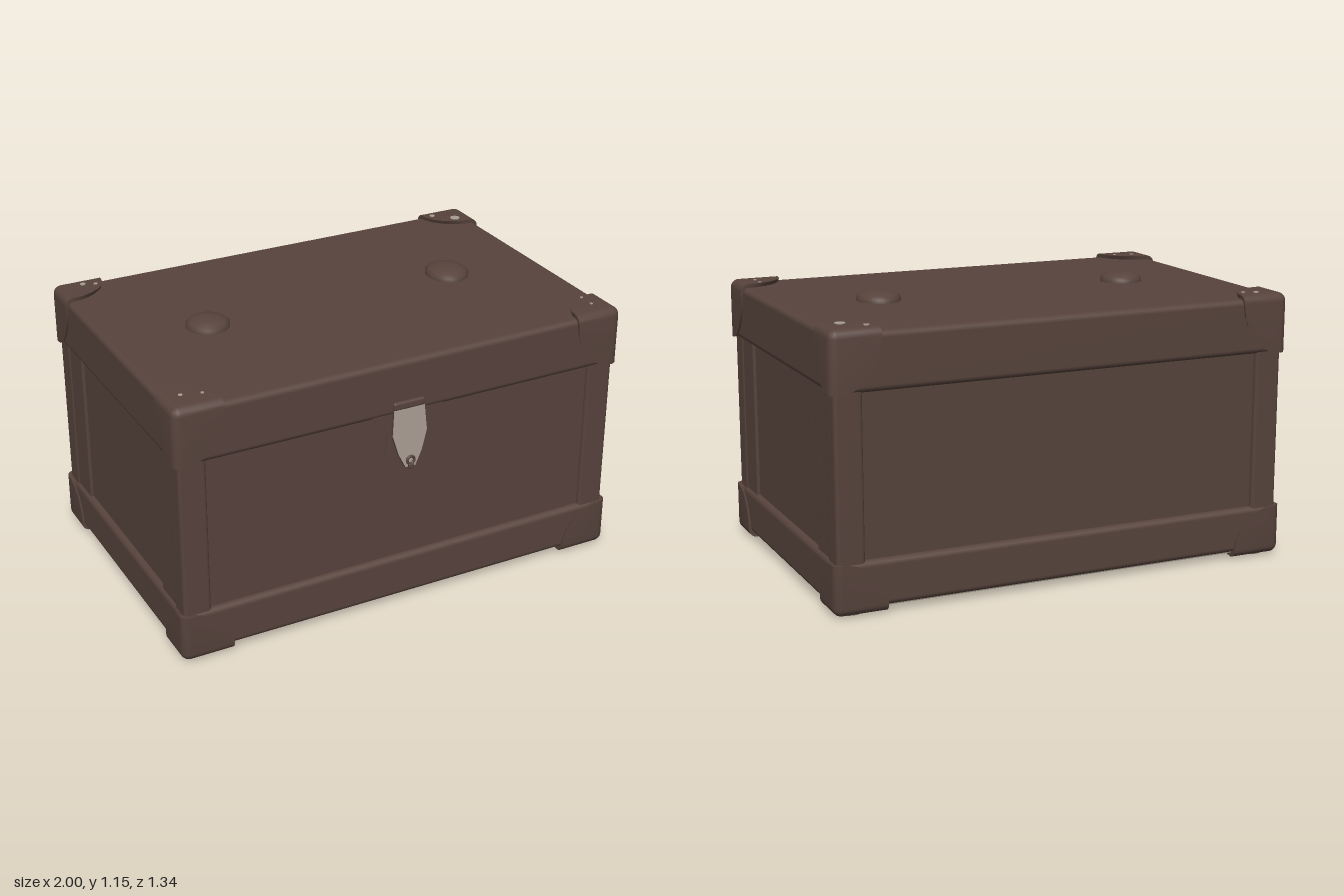
import * as THREE from 'three';
import { RoundedBoxGeometry } from 'three/addons/geometries/RoundedBoxGeometry.js';
import { ConvexGeometry } from 'three/addons/geometries/ConvexGeometry.js';
import { toCreasedNormals } from 'three/addons/utils/BufferGeometryUtils.js';

const material = (name, color) => {
  const m = new THREE.MeshStandardMaterial({ color });
  m.name = name;
  return m;
};

export function createModel() {
  const brown = material('brown leather', 0x57433c);
  const grey = material('grey underside', 0x8d867a);
  const metal = material('dull metal', 0xa89d93);
  const chest = new THREE.Group();
  chest.name = 'chest';

  const add = (name, geometry, mat, x = 0, y = 0, z = 0) => {
    const mesh = new THREE.Mesh(geometry, mat);
    mesh.name = name;
    mesh.position.set(x, y, z);
    chest.add(mesh);
    return mesh;
  };
  // Rounded block given by its limits on each axis
  const block = (name, [x0, x1], [y0, y1], [z0, z1], r) =>
    add(name, new RoundedBoxGeometry(x1 - x0, y1 - y0, z1 - z0, 3, r), brown,
      (x0 + x1) / 2, (y0 + y1) / 2, (z0 + z1) / 2);
  // Flat outline, extruded forward from z = 0
  const plate = (points, depth) => new THREE.ExtrudeGeometry(
    new THREE.Shape(points.map(p => new THREE.Vector2(...p))), { depth, bevelEnabled: false });

  // Recessed panels, base band and lid
  block('bodyPanels', [-0.965, 0.965], [0.1, 0.98], [-0.635, 0.607], 0.01);
  block('baseBand', [-0.99, 0.99], [0.03, 0.22], [-0.66, 0.632], 0.025);
  block('lid', [-0.99, 0.99], [0.88, 1.113], [-0.662, 0.632], 0.025);
  add('underside', new THREE.BoxGeometry(1.94, 0.008, 1.25), grey, 0, 0.03, -0.015);

  // Corner posts, with a slightly lower inner board on each end wall
  for (const s of [-1, 1]) {
    const span = (a, b) => (s > 0 ? [a, b] : [-b, -a]);
    block('frontPost', span(0.865, 0.982), [0.18, 0.92], [0.525, 0.624], 0.015);
    block('backPost', span(0.865, 0.982), [0.18, 0.92], [-0.654, -0.55], 0.015);
    block('frontEndBoard', span(0.9, 0.977), [0.18, 0.92], [0.39, 0.56], 0.008);
    block('backEndBoard', span(0.9, 0.977), [0.18, 0.92], [-0.6, -0.415], 0.008);
  }

  // Wrapped corner cap: quarter ellipses on three faces with a rounded corner
  const cornerCap = (corner, dir, size, r) => {
    const points = [];
    const put = v => points.push(new THREE.Vector3(
      ...corner.map((c, i) => c - dir[i] * v[i])));
    const n = 6;
    for (let axis = 0; axis < 3; axis++) {
      const u = (axis + 1) % 3, w = (axis + 2) % 3;
      for (let i = 0; i <= n; i++) {
        const a = (i / n) * Math.PI / 2;
        const c = Math.cos(a), s = Math.sin(a);
        // outline on the face
        const rim = [0, 0, 0];
        rim[u] = r + (size[u] - r) * c;
        rim[w] = r + (size[w] - r) * s;
        put(rim);
        // rounded end of each edge
        const edge = [0, 0, 0];
        edge[axis] = size[axis];
        edge[u] = r * (1 - c);
        edge[w] = r * (1 - s);
        put(edge);
      }
    }
    // rounded corner
    for (let i = 0; i <= 5; i++) for (let j = 0; j <= 5; j++) {
      const a = (i / 5) * Math.PI / 2, b = (j / 5) * Math.PI / 2;
      put([r * (1 - Math.cos(a) * Math.cos(b)), r * (1 - Math.sin(b)),
        r * (1 - Math.sin(a) * Math.cos(b))]);
    }
    return toCreasedNormals(new ConvexGeometry(points), 0.6);
  };
  for (const sx of [-1, 1]) for (const sz of [-1, 1]) {
    const z = sz > 0 ? 0.642 : -0.672;
    add('lidCornerCap', cornerCap([sx, 1.13, z], [sx, 1, sz], [0.21, 0.25, 0.18], 0.035), brown);
    add('baseCornerCap', cornerCap([sx, 0.008, z], [sx, -1, sz], [0.22, 0.21, 0.18], 0.035), brown);
    add('foot', new THREE.CylinderGeometry(0.055, 0.05, 0.012, 20), grey,
      sx * 0.91, 0.006, z - sz * 0.09);
  }

  // Small nail heads on the lid caps
  for (const [x, z, r] of [[-0.92, 0.53, 0.009], [-0.84, 0.55, 0.007], [0.91, 0.48, 0.007],
    [0.91, 0.55, 0.007], [-0.88, -0.61, 0.012], [-0.83, -0.59, 0.009], [0.83, -0.61, 0.012],
    [0.91, -0.54, 0.022]]) {
    add('nailHead', new THREE.CylinderGeometry(r, r, 0.004, 12), metal, x, 1.131, z);
  }

  // Domed studs on the lid
  const dome = [[0.1, 0], [0.1, 0.02], [0.085, 0.033], [0.055, 0.043], [0.025, 0.047], [0, 0.048]]
    .map(p => new THREE.Vector2(...p));
  for (const [x, z, depth] of [[-0.565, -0.02, 0.9], [0.565, -0.035, 1.02]]) {
    const stud = add('lidStud', new THREE.LatheGeometry(dome, 32), brown, x, 1.107, z);
    stud.scale.set(0.9, 1, depth);
  }

  // Clasp: lid flap, backing, hinge, tapered hasp with its face, and staple
  add('lidFlap', plate([[-0.16, 0.89], [-0.07, 0.79], [0.07, 0.79], [0.16, 0.89]], 0.03), brown, 0, 0, 0.6);
  add('claspBacking', plate([[-0.08, 0.8], [-0.09, 0.71], [0, 0.6], [0.09, 0.71], [0.08, 0.8]], 0.01),
    brown, 0, 0, 0.602);
  block('claspHinge', [-0.07, 0.07], [0.905, 0.94], [0.62, 0.645], 0.01);
  const outline = [[-0.068, 0], [-0.077, -0.11], [-0.052, -0.195], [-0.022, -0.255],
    [0.022, -0.255], [0.052, -0.195], [0.077, -0.11], [0.068, 0]];
  const hasp = new THREE.Group();
  hasp.name = 'hasp';
  hasp.position.set(0, 0.907, 0.63);
  hasp.rotation.x = -0.06;
  const haspBack = add('haspBack', plate(outline, 0.01), brown);
  const haspFace = add('haspFace', plate(outline, 0.004), metal, 0, 0, 0.01);
  hasp.add(haspBack, haspFace);
  chest.add(hasp);
  const staple = add('staple', new THREE.TorusGeometry(0.016, 0.006, 8, 20), brown, 0, 0.682, 0.66);
  staple.rotation.x = -0.06;
  block('staplePin', [-0.012, 0.012], [0.645, 0.67], [0.605, 0.672], 0.006);

  return chest;
}
